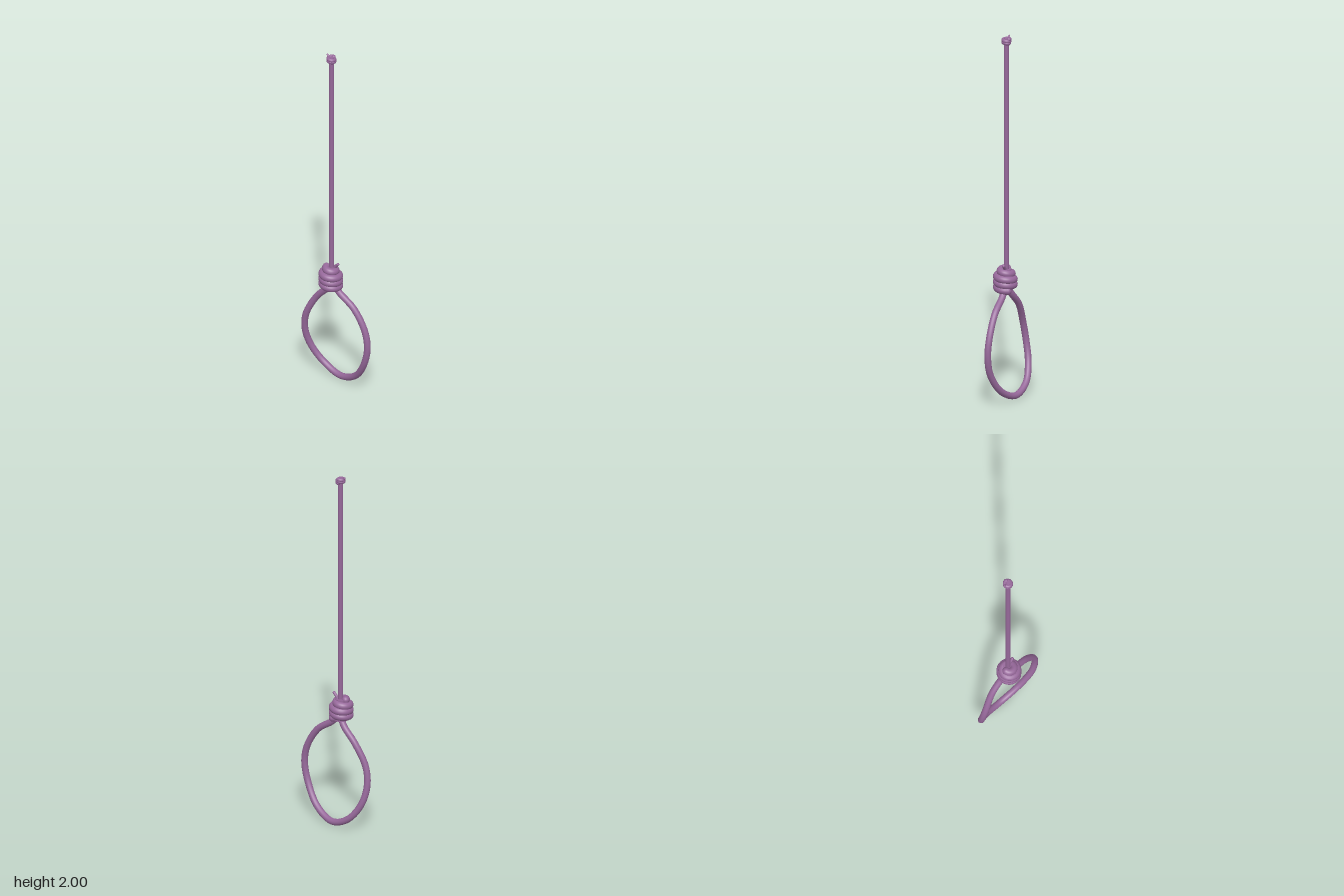
import * as THREE from 'three';

const ropeMaterial = new THREE.MeshStandardMaterial({ color: 0x96689a, roughness: 0.8 });

// Smooth rope through the given points, with rounded ends when open
function rope(name, points, radius, segments, closed = false) {
  const group = new THREE.Group();
  group.name = name;
  const path = new THREE.CatmullRomCurve3(points.map((p) => new THREE.Vector3(...p)), closed);
  const strand = new THREE.Mesh(new THREE.TubeGeometry(path, segments, radius, 16, closed), ropeMaterial);
  strand.name = name + 'Strand';
  group.add(strand);
  if (!closed) {
    for (const t of [0, 1]) {
      const end = new THREE.Mesh(new THREE.SphereGeometry(radius, 16, 10), ropeMaterial);
      end.name = name + 'End';
      end.position.copy(path.getPoint(t));
      group.add(end);
    }
  }
  return group;
}

// Points of a helix whose radius follows radiusAt(t)
function helix(cx, cz, y0, y1, turns, radiusAt, start) {
  const points = [];
  const count = Math.round(turns * 16);
  for (let i = 0; i <= count; i++) {
    const t = i / count;
    const a = start + t * turns * Math.PI * 2;
    const r = radiusAt(t);
    points.push([cx + r * Math.cos(a), y0 + (y1 - y0) * t, cz + r * Math.sin(a)]);
  }
  return points;
}

export function createModel() {
  const model = new THREE.Group();
  model.name = 'knottedRope';

  // Long hanging rope
  const main = new THREE.Mesh(new THREE.CylinderGeometry(0.0135, 0.0135, 1.4, 16), ropeMaterial);
  main.name = 'mainRope';
  main.position.set(-0.006, 1.29, -0.016);
  model.add(main);

  // Twisted lower loop, both ends tucked into the coils
  model.add(rope('lowerLoop', [
    [-0.005, 0.61, -0.005], [0.008, 0.565, 0.035], [0.03, 0.5, 0.12], [0.048, 0.39, 0.185],
    [0.052, 0.29, 0.204], [0.05, 0.18, 0.18], [0.058, 0.07, 0.1], [0.058, 0.02, -0.02],
    [0.038, 0.062, -0.125], [0.0, 0.155, -0.187], [-0.028, 0.26, -0.203], [-0.034, 0.365, -0.185],
    [-0.012, 0.485, -0.125], [0.0, 0.565, -0.05], [-0.005, 0.61, -0.02],
  ], 0.0178, 160));

  // Wrapped coils, tightening at the top
  const coilRadius = (t) => 0.045 - 0.019 * THREE.MathUtils.smoothstep(t, 0.68, 0.85);
  model.add(rope('coils', helix(-0.012, -0.015, 0.599, 0.706, 3.6, coilRadius, 0.6), 0.0205, 300));

  // Solid core hidden inside the coils
  const core = new THREE.Mesh(new THREE.CylinderGeometry(0.03, 0.04, 0.12, 20), ropeMaterial);
  core.name = 'coilCore';
  core.position.set(-0.01, 0.65, -0.015);
  model.add(core);

  // Short loose end above the coils
  model.add(rope('looseEnd', [[-0.002, 0.69, -0.005], [0.002, 0.717, 0.006], [0.006, 0.735, 0.021]], 0.008, 12));

  // Small end knot with its tail
  model.add(rope('endKnot', helix(-0.006, -0.017, 1.964, 1.985, 2, () => 0.0165, 0), 0.0105, 120));
  model.add(rope('endKnotTail', [[-0.005, 1.975, -0.018], [-0.007, 1.986, -0.03], [-0.01, 1.995, -0.044]], 0.005, 12));

  return model;
}
